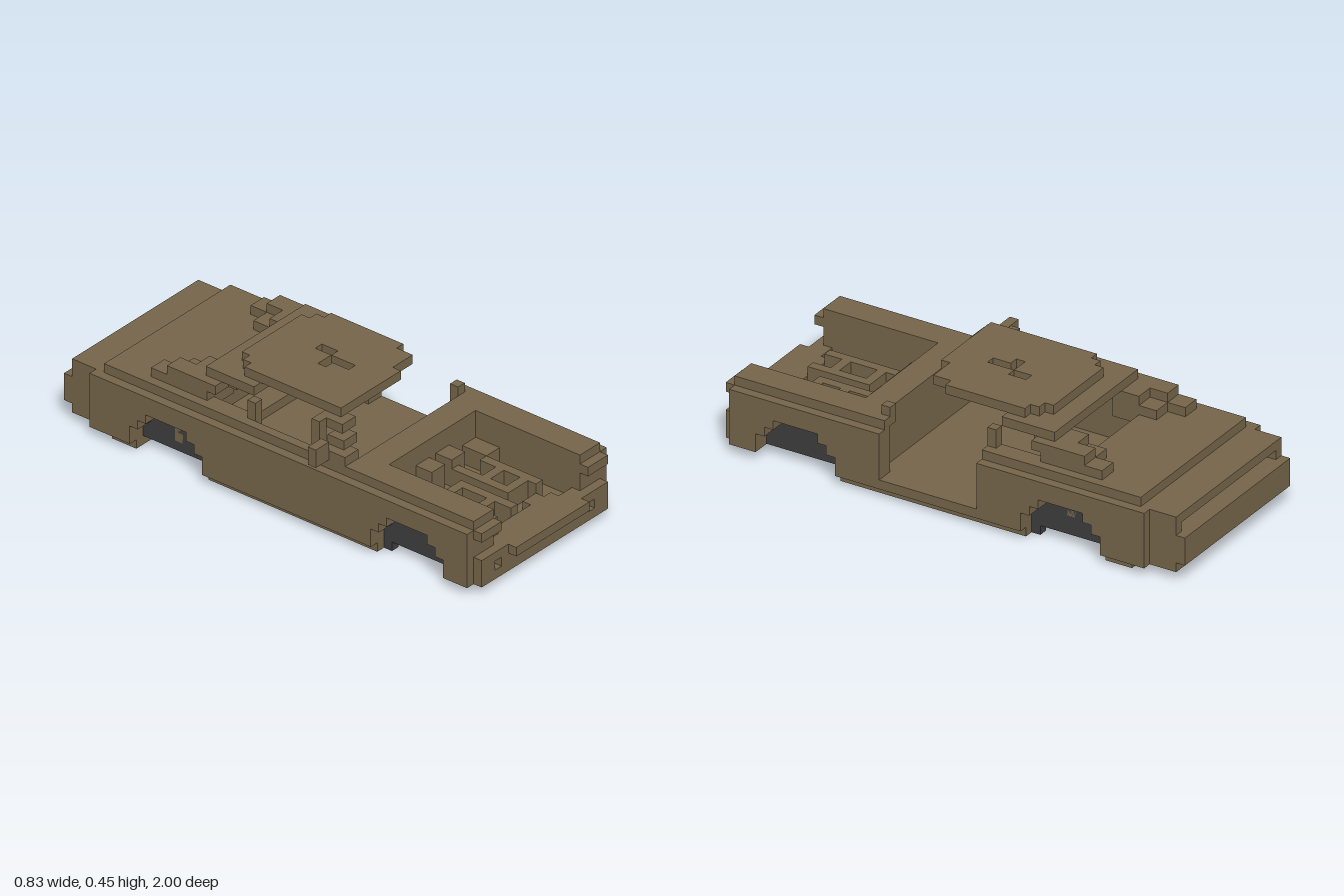
import * as THREE from 'three';
import { mergeGeometries } from 'three/addons/utils/BufferGeometryUtils.js';

const V = 2 / 53; // block size; cells run x -11..11, y 0..12, z 0 (back)..53 (front)

function block([x0, x1, y0, y1, z0, z1]) {
  const g = new THREE.BoxGeometry((x1 - x0) * V, (y1 - y0) * V, (z1 - z0) * V);
  g.translate((x0 + x1) / 2 * V, (y0 + y1) / 2 * V, ((z0 + z1) / 2 - 26.5) * V);
  return g;
}

// The body is mirrored about the cell line x = 0.5
const flip = ([x0, x1, ...rest]) => [1 - x1, 1 - x0, ...rest];
const both = (list) => list.flatMap((b) => [b, flip(b)]);

export function createModel() {
  const paint = new THREE.MeshStandardMaterial({ color: 0x746449 });
  paint.name = 'brown paint';
  const dark = new THREE.MeshStandardMaterial({ color: 0x3c3c3c });
  dark.name = 'dark rubber';
  const car = new THREE.Group();
  car.name = 'car';
  const add = (name, list, material = paint) => {
    const mesh = new THREE.Mesh(mergeGeometries(list.map(block)), material);
    mesh.name = name;
    car.add(mesh);
  };

  // Underbody and cabin floor
  add('underbody', [
    [-9, 10, 0, 1, 18, 39], [-9, 10, 0, 1, 6, 9],
    [-7, 8, 1, 2, 4, 51], [-9, 10, 1, 2, 18, 39],
  ]);

  // Side panels with stepped wheel arches
  const side = [
    [9, 11, 1, 3, 4, 9], [9, 11, 1, 2, 18, 39], [9, 11, 1, 3, 48, 51],
    [9, 11, 3, 4, 4, 10], [9, 11, 3, 4, 47, 51],
    [9, 11, 4, 5, 4, 11], [9, 11, 4, 5, 46, 51],
    [9, 11, 5, 7, 4, 23], [9, 11, 5, 7, 34, 51],
    [9, 11, 2, 3, 18, 23], [9, 11, 3, 4, 17, 23], [9, 11, 4, 5, 16, 23],
    [9, 11, 2, 3, 34, 39], [9, 11, 3, 4, 34, 40], [9, 11, 4, 5, 34, 41],
    [8, 10, 7, 8, 14, 23], [8, 10, 7, 8, 34, 51],
  ];
  add('sidePanels', both(side));

  // Only the right-hand door is fitted
  add('rightDoor', [[-10, -8, 2, 7, 23, 34], [-9, -8, 7, 8, 23, 34]]);

  // Wheels fill the arches
  const wheel = [];
  for (const z of [9, 39]) {
    wheel.push([8, 9, 1, 3, z, z + 9], [8, 9, 3, 4, z + 1, z + 8], [8, 9, 4, 5, z + 2, z + 7]);
  }
  wheel.push([8, 9, 0, 1, 17, 18], [8, 9, 0, 1, 39, 40]);
  add('wheels', both(wheel), dark);

  // Engine bay: side rails, floor, dashboard and front wall
  add('bayRails', both([[7, 8, 2, 8, 38, 51], [8, 9, 5, 7, 38, 51], [8, 9, 2, 5, 48, 51]]));
  add('bayFloor', [[-6, 7, 2, 3, 38, 50]]);
  add('dashboard', [[-9, 10, 2, 8, 35, 38]]);
  add('frontWall', [
    [-9, 10, 1, 2, 51, 52], [-9, 10, 3, 4, 51, 52], [-6, 7, 2, 3, 51, 52],
    [-9, -7, 2, 3, 51, 52], [8, 10, 2, 3, 51, 52], [-6, 7, 1, 4, 50, 51],
  ]);
  add('frontLip', both([[7, 10, 6, 7, 51, 52]]));
  add('frontBumper', [[-5, 6, 3, 4, 52, 53]]);

  // Engine pieces
  add('engine', [
    [-4, -3, 3, 5, 41, 49], [4, 5, 3, 5, 41, 48], [-4, 5, 3, 4, 49, 50],
    [-3, 0, 3, 5, 46, 47], [1, 4, 3, 5, 46, 47], [-3, 0, 3, 5, 42, 43],
    [1, 4, 3, 5, 43, 44], [-2, 0, 3, 6, 38, 40], [1, 3, 3, 6, 38, 40],
    [-1, 0, 3, 5, 43, 49], [1, 2, 3, 5, 40, 46], [-6, -4, 3, 5, 38, 41],
    [5, 7, 3, 5, 38, 41], [-2, 2, 3, 4, 44, 46], [2, 4, 3, 4, 48, 49],
  ]);

  // Boot, its recessed rear face and the bumper
  add('bootLid', [[-9, 10, 7, 8, 5, 14], [-9, 10, 6, 7, 1, 14]]);
  add('rearFace', [
    [-9, 10, 1, 5, 1, 4], [-9, 10, 5, 6, 3, 5],
    [-9, -8, 5, 6, 1, 3], [9, 10, 5, 6, 1, 3],
  ]);
  add('rearBumper', [[-9, 10, 2, 5, 0, 1]]);
  add('rearPlate', [[-1, 2, 5, 6, 2, 3]], dark);
  add('rearBulkhead', [[-9, 10, 5, 7, 13, 14], [-8, 9, 2, 5, 13, 14], [-7, 8, 2, 3, 14, 17]]);

  // Stepped rear pillars and window header
  add('rearPillars', both([
    [5, 8, 7, 8, 14, 17], [7, 9, 8, 9, 10, 17], [5, 7, 8, 9, 12, 17],
    [7, 9, 9, 10, 12, 18], [5, 7, 9, 10, 14, 19], [5, 8, 10, 11, 16, 22],
    [8, 9, 8, 10, 22, 23],
  ]));
  add('rearHeader', [[-5, 6, 10, 11, 16, 19]]);

  // Right windscreen pillar and window post, left pillar stub
  add('windscreenPillar', [
    [-9, -7, 8, 9, 33, 35], [-8, -6, 9, 10, 32, 34], [-7, -5, 10, 11, 30, 33],
    [-8, -7, 7, 11, 30, 31],
  ]);
  add('pillarStub', [[8, 9, 8, 9, 34, 35]]);

  // Roof with a crooked hole and clipped corners
  add('roof', [
    [-4, 5, 11, 12, 18, 23], [-5, 6, 11, 12, 19, 23], [-6, 7, 11, 12, 20, 23],
    [-6, 1, 11, 12, 23, 25], [2, 7, 11, 12, 23, 25],
    [-6, -1, 11, 12, 25, 26], [1, 7, 11, 12, 25, 26],
    [-6, 0, 11, 12, 26, 28], [1, 7, 11, 12, 26, 28],
    [-6, 7, 11, 12, 28, 29], [-6, 6, 11, 12, 29, 31], [-6, 3, 11, 12, 31, 32],
  ]);

  // Door mirror on the right side
  add('doorMirror', [[-11, -9, 9, 10, 32, 33], [-11, -7, 8, 9, 32, 33]]);
  return car;
}
